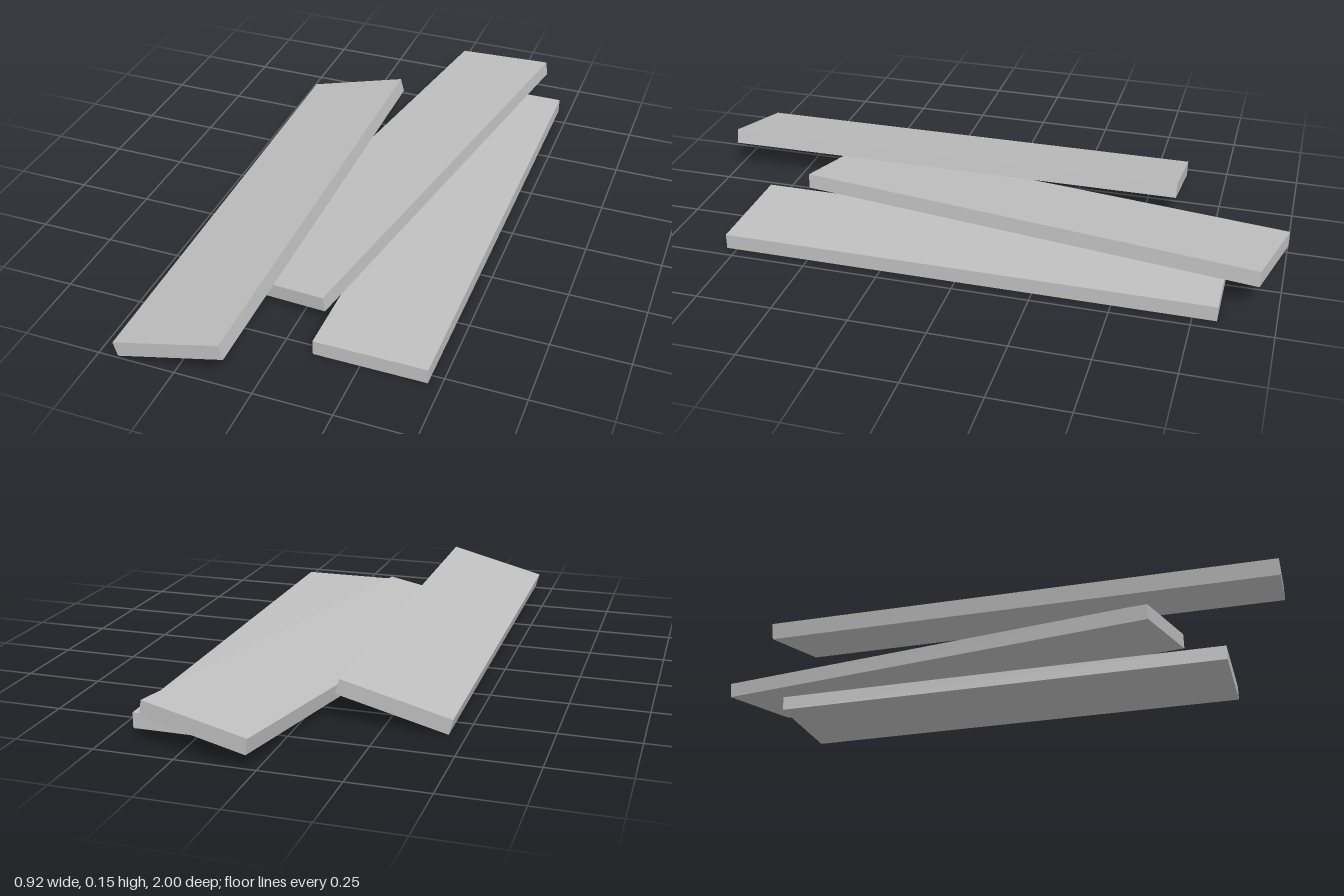
import * as THREE from 'three';

export function createModel() {
  const group = new THREE.Group();
  const plankGrey = new THREE.MeshStandardMaterial({ color: 0xc0c0c0 });
  plankGrey.name = 'plankGrey';
  const geometry = new THREE.BoxGeometry(0.36, 0.05, 1.61);
  const deg = THREE.MathUtils.degToRad;

  // Each plank is turned on the ground (yaw), then tipped sideways (roll)
  function addPlank(name, position, yaw, roll) {
    const plank = new THREE.Mesh(geometry, plankGrey);
    plank.name = name;
    plank.position.set(...position);
    plank.rotation.set(0, deg(yaw), deg(roll), 'ZYX');
    group.add(plank);
  }

  // Flat plank, one leaning on it, and one leaning on that
  addPlank('flatPlank', [0.28, 0.025, -0.02], 0, 0);
  addPlank('middlePlank', [0.0535, 0.071, -0.178], -10.7, 7.9);
  addPlank('topPlank', [-0.274, 0.075, 0.193], 0.57, 14.6);

  return group;
}
